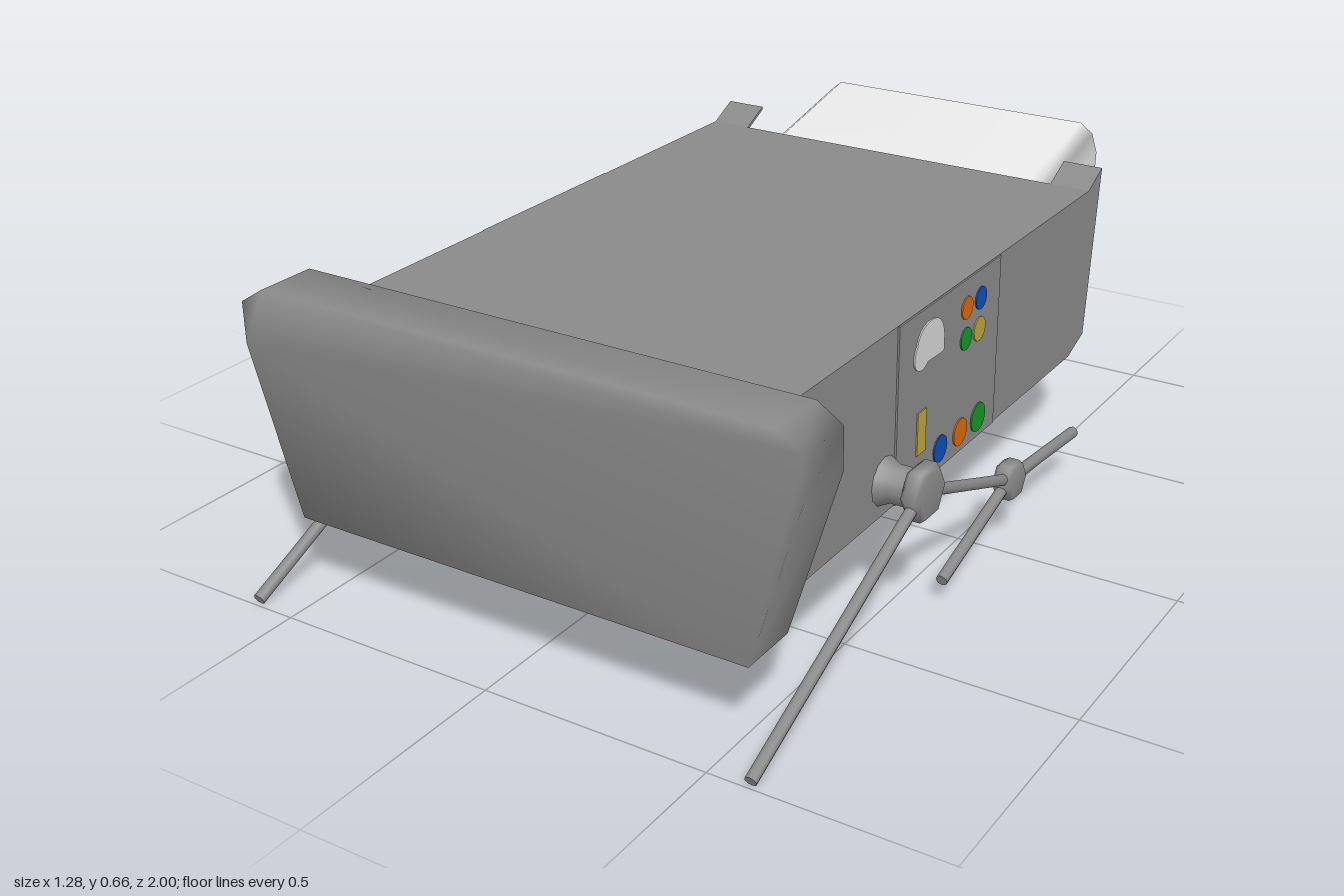
import * as THREE from 'three';
import { mergeVertices } from 'three/addons/utils/BufferGeometryUtils.js';

const material = (name, color) => {
  const m = new THREE.MeshStandardMaterial({ color });
  m.name = name;
  return m;
};

export function createModel() {
  const root = new THREE.Group();
  const grey = material('grey', 0x8a8a8a);
  const white = material('white', 0xececec);
  const pale = material('paleGrey', 0xd6d6d6);
  const orange = material('orange', 0xdc6a08);
  const blue = material('blue', 0x0a50bc);
  const green = material('green', 0x109a24);
  const yellow = material('yellow', 0xbfa638);

  const add = (parent, name, geometry, mat) => {
    const mesh = new THREE.Mesh(geometry, mat);
    mesh.name = name;
    parent.add(mesh);
    return mesh;
  };
  const toShape = (pts) => new THREE.Shape(pts.map(([a, b]) => new THREE.Vector2(a, b)));
  const extrude = (shape, depth) =>
    new THREE.ExtrudeGeometry(shape, { depth, bevelEnabled: false, curveSegments: 16 });
  // Side profile given as (z, y), spanning x0 to x1
  const sideProfile = (shape, x0, x1) =>
    extrude(shape, x1 - x0).rotateY(-Math.PI / 2).translate(x1, 0, 0);
  // Mirror a half outline in x
  const mirrored = (half) => toShape([...half, ...half.slice().reverse().map(([x, y]) => [-x, y])]);
  const smooth = (g) => {
    g.deleteAttribute('normal');
    g.deleteAttribute('uv');
    const merged = mergeVertices(g, 1e-4);
    merged.computeVertexNormals();
    return merged;
  };

  // Front plate with soft shading
  const plate = mirrored([[0.585, 0.665], [0.64, 0.63], [0.64, 0.54], [0.53, 0.18]]);
  add(root, 'frontPlate', smooth(extrude(plate, 0.135).translate(0, 0, 0.77)), grey);

  // Hollow body, open at the back
  const t = 0.008;
  add(root, 'bodyTop', sideProfile(
    toShape([[0.77, 0.62 - t], [0.77, 0.62], [-0.6, 0.62], [-0.6, 0.62 - t]]), -0.505, 0.505), grey);
  add(root, 'bodyBottom', sideProfile(
    toShape([[0.77, 0.23], [0.77, 0.23 + t], [-0.54, 0.23 + t], [-0.54, 0.23]]), -0.505, 0.505), grey);
  const wall = toShape([[0.77, 0.23], [0.77, 0.62], [-0.6, 0.62], [-0.67, 0.655], [-0.62, 0.26], [-0.54, 0.23]]);
  const fin = toShape([[-0.6, 0.62 - t], [-0.6, 0.62], [-0.67, 0.655], [-0.67, 0.655 - t]]);

  // Tilted white tail block
  const tailShape = mirrored([[0.335, 0.145], [0.365, 0.12], [0.375, 0.07], [0.36, -0.07], [0.335, -0.115], [0.28, -0.145]]);
  const tail = add(root, 'tailBlock', smooth(extrude(tailShape, 0.5)), white);
  tail.rotation.x = 0.215;
  tail.position.set(0, 0.5225, -0.97);

  const yAxis = new THREE.Vector3(0, 1, 0);
  // Rod between two (z, y) points
  const rod = (parent, name, x, [z0, y0], [z1, y1]) => {
    const a = new THREE.Vector3(x, y0, z0);
    const b = new THREE.Vector3(x, y1, z1);
    const d = b.clone().sub(a);
    const mesh = add(parent, name, new THREE.CylinderGeometry(0.013, 0.013, d.length(), 8), grey);
    mesh.position.copy(a).add(b).multiplyScalar(0.5);
    mesh.quaternion.setFromUnitVectors(yAxis, d.normalize());
  };
  // Turned part about the x axis; profile of (radius, x)
  const turned = (profile, sides, s) => {
    const g = new THREE.LatheGeometry(profile.map(([r, x]) => new THREE.Vector2(r, x)), sides);
    return g.rotateZ(s > 0 ? -Math.PI / 2 : Math.PI / 2);
  };

  // Buttons: z, y, radius, colour
  const buttons = [
    [0.027, 0.556, 0.025, orange], [-0.037, 0.556, 0.025, blue],
    [0.027, 0.487, 0.025, green], [-0.035, 0.487, 0.027, yellow],
    [0.128, 0.278, 0.03, blue], [0.037, 0.278, 0.031, orange], [-0.048, 0.278, 0.033, green],
  ];
  // Arched badge with a rounded lobe at its front
  const badge = new THREE.Shape();
  badge.moveTo(0.13, 0.5);
  badge.lineTo(0.13, 0.535);
  badge.quadraticCurveTo(0.138, 0.588, 0.19, 0.588);
  badge.quadraticCurveTo(0.238, 0.588, 0.248, 0.55);
  badge.quadraticCurveTo(0.268, 0.522, 0.25, 0.502);
  badge.quadraticCurveTo(0.225, 0.483, 0.2, 0.502);

  for (const s of [1, -1]) {
    const side = new THREE.Group();
    side.name = s > 0 ? 'leftSide' : 'rightSide';
    root.add(side);
    const span = (shape, x0, x1) => (s > 0 ? sideProfile(shape, x0, x1) : sideProfile(shape, -x1, -x0));

    add(side, 'bodyWall', span(wall, 0.505 - t, 0.505), grey);
    add(side, 'rearFin', span(fin, 0.41, 0.505), grey);

    // Control panel
    add(side, 'controlPanel', new THREE.BoxGeometry(0.006, 0.388, 0.45), grey)
      .position.set(s * 0.506, 0.425, 0.095);
    for (const [z, y, r, mat] of buttons) {
      add(side, 'button', new THREE.CylinderGeometry(r, r, 0.004, 20).rotateZ(Math.PI / 2), mat)
        .position.set(s * 0.51, y, z);
    }
    add(side, 'slider', new THREE.BoxGeometry(0.004, 0.095, 0.037), yellow)
      .position.set(s * 0.51, 0.353, 0.217);
    add(side, 'badge', span(badge, 0.508, 0.512), pale);

    // Jointed leg
    const shoulder = [0.36, 0.305];
    const elbow = [-0.05, 0.15];
    const x = s * 0.59;
    add(side, 'shoulderStub', turned([[0.055, 0.5], [0.04, 0.53], [0.04, 0.575]], 12, s), grey)
      .position.set(0, shoulder[1], shoulder[0]);
    const joint = (name, r, [z, y]) =>
      add(side, name, turned([[0, -0.022], [r * 0.85, -0.022], [r, -0.012], [r, 0.012], [r * 0.85, 0.022], [0, 0.022]], 6, s), grey)
        .position.set(x, y, z);
    joint('shoulderJoint', 0.062, shoulder);
    joint('elbowJoint', 0.045, elbow);
    rod(side, 'frontLeg', x, shoulder, [0.995, 0.015]);
    rod(side, 'upperLeg', x, shoulder, elbow);
    rod(side, 'innerFoot', x, elbow, [0.26, 0.055]);
    rod(side, 'rearFoot', x, elbow, [-0.39, 0.12]);
  }
  return root;
}
